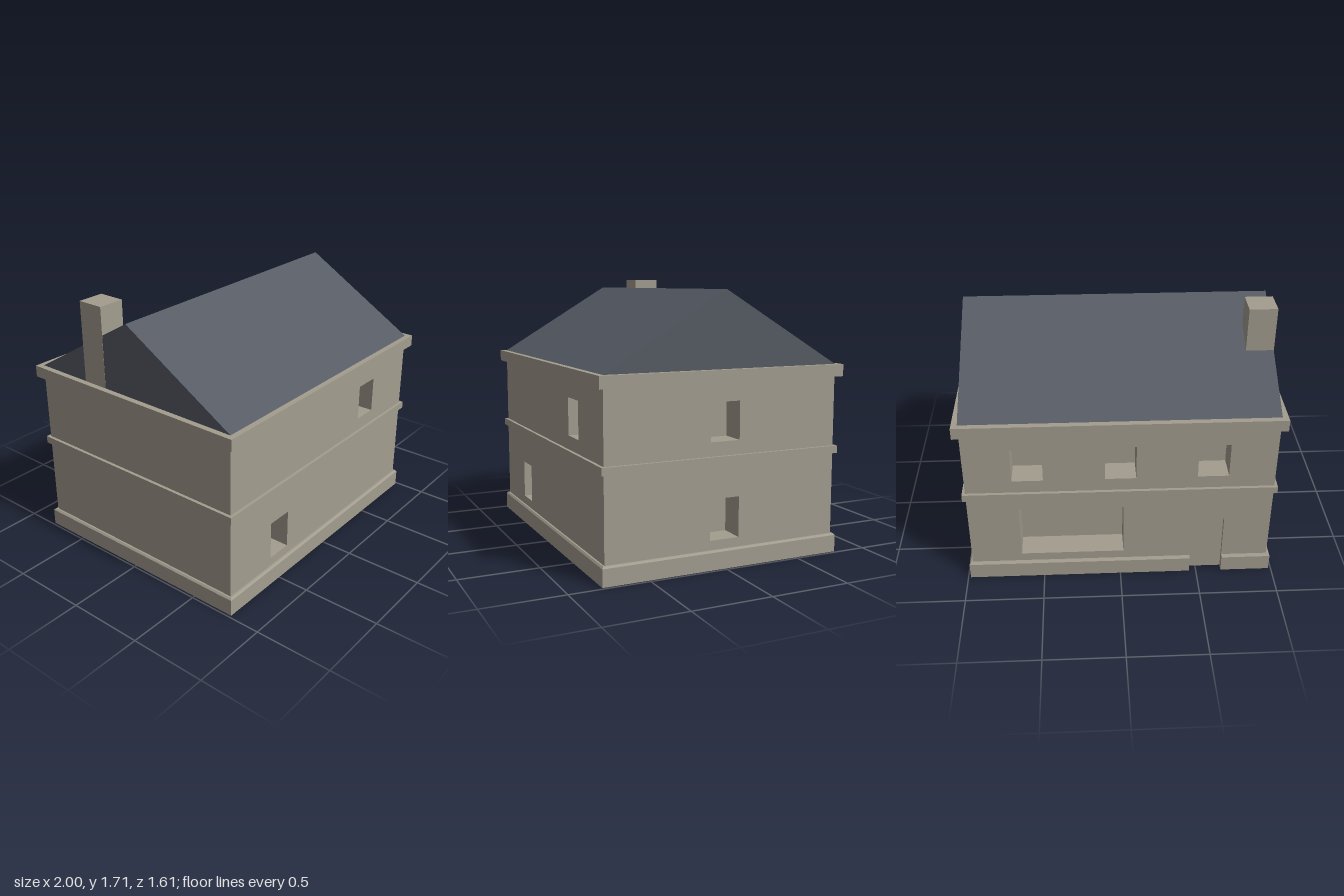
import * as THREE from 'three';

const W = 0.963, D = 0.77;   // half width and half depth of the walls
const EAVES = 1.195, RIDGE = 1.655;
const T = 0.16;              // depth of the window recesses

const stone = new THREE.MeshStandardMaterial({ color: 0xa39d8f });
const slate = new THREE.MeshStandardMaterial({ color: 0x565b64 });

function mesh(name, geometry, material = stone) {
  const m = new THREE.Mesh(geometry, material);
  m.name = name;
  return m;
}

function box(name, x0, x1, y0, y1, z0, z1, material) {
  const g = new THREE.BoxGeometry(x1 - x0, y1 - y0, z1 - z0);
  g.translate((x0 + x1) / 2, (y0 + y1) / 2, (z0 + z1) / 2);
  return mesh(name, g, material);
}

// Wall panel facing +z with rectangular openings [u0, u1, y0, y1];
// an optional doorway [u0, u1, top] is notched out of its foot.
function wallPanel(name, half, dist, openings, door) {
  const pts = [[-half, 0]];
  if (door) pts.push([door[0], 0], [door[0], door[2]], [door[1], door[2]], [door[1], 0]);
  pts.push([half, 0], [half, EAVES], [-half, EAVES]);
  const shape = new THREE.Shape(pts.map(p => new THREE.Vector2(...p)));
  for (const [u0, u1, y0, y1] of openings) {
    shape.holes.push(new THREE.Path([
      new THREE.Vector2(u0, y0), new THREE.Vector2(u0, y1),
      new THREE.Vector2(u1, y1), new THREE.Vector2(u1, y0)]));
  }
  const g = new THREE.ExtrudeGeometry(shape, { depth: T, bevelEnabled: false });
  g.translate(0, 0, dist - T);
  return mesh(name, g);
}

// Moulding run along a +z wall from u0 to u1; profile points are [out, y].
// Ends are mitred where they meet a corner.
function moulding(name, profile, dist, u0, u1, mitre0 = 1, mitre1 = 1) {
  const shape = new THREE.Shape(profile.map(p => new THREE.Vector2(...p)));
  const len = u1 - u0;
  const g = new THREE.ExtrudeGeometry(shape, { depth: len, bevelEnabled: false });
  const p = g.attributes.position;
  for (let i = 0; i < p.count; i++) {
    const out = p.getX(i), t = p.getZ(i);
    p.setZ(i, t < len / 2 ? t - out * mitre1 : t + out * mitre0);
  }
  g.rotateY(-Math.PI / 2);
  g.translate(u1, 0, dist);
  g.computeVertexNormals();
  return mesh(name, g);
}

const bar = (out, y0, y1) => [[0, y0], [out, y0], [out, y1], [0, y1]];
const plinth = [[0, 0], [0.021, 0], [0.021, 0.108], [0.011, 0.119], [0, 0.119]];
const band = bar(0.02, 0.637, 0.684);
const cornice = bar(0.037, 1.12, EAVES);

export function createModel() {
  const house = new THREE.Group();
  house.name = 'house';

  // Openings in each wall's own frame, seen from outside
  const low = [0.177, 0.428], high = [0.77, 1.005];
  const door = [0.455, 0.665, 0.43];
  const sides = [
    { name: 'front', angle: 0, half: W, dist: D,
      openings: [[-0.57, -0.395, ...low], [0.39, 0.565, ...high]] },
    { name: 'left', angle: Math.PI / 2, half: D, dist: W,
      openings: [[-0.097, 0.097, ...low], [-0.097, 0.097, ...high]] },
    { name: 'back', angle: Math.PI, half: W, dist: D, door,
      openings: [[-0.64, 0.02, 0.177, 0.545],
        ...[-0.575, 0, 0.575].map(c => [c - 0.097, c + 0.097, ...high])] },
    { name: 'right', angle: -Math.PI / 2, half: D, dist: W, openings: [] },
  ];

  for (const s of sides) {
    const side = new THREE.Group();
    side.name = s.name + 'Side';
    side.rotation.y = s.angle;
    // Gable walls fit between the two long walls
    const wallHalf = s.half === D ? D - T : s.half;
    side.add(wallPanel('wall', wallHalf, s.dist, s.openings, s.door));
    side.add(moulding('band', band, s.dist, -s.half, s.half));
    side.add(moulding('cornice', cornice, s.dist, -s.half, s.half));
    if (s.door) {
      // Plinth stops either side of the doorway
      side.add(moulding('plinth', plinth, s.dist, -s.half, s.door[0], 1, 0));
      side.add(moulding('plinth', plinth, s.dist, s.door[1], s.half, 0, 1));
      side.add(box('door', s.door[0], s.door[1], 0, s.door[2], s.dist - T, s.dist - 0.025));
    } else {
      side.add(moulding('plinth', plinth, s.dist, -s.half, s.half));
    }
    house.add(side);
  }

  // Solid core closing the backs of the recesses
  house.add(box('core', -W + T, W - T, 0, EAVES, -D + T, D - T));

  // Gabled roof with its ridge along x
  const gable = new THREE.Shape([
    new THREE.Vector2(-D, EAVES), new THREE.Vector2(D, EAVES), new THREE.Vector2(0, RIDGE)]);
  const roof = new THREE.ExtrudeGeometry(gable, { depth: 2 * W, bevelEnabled: false });
  roof.translate(0, 0, -W);
  roof.rotateY(Math.PI / 2);
  house.add(mesh('roof', roof, slate));

  // Chimney flush with the gable
  house.add(box('chimney', -W - 0.001, -0.79, EAVES, 1.713, -0.375, -0.2));

  return house;
}
